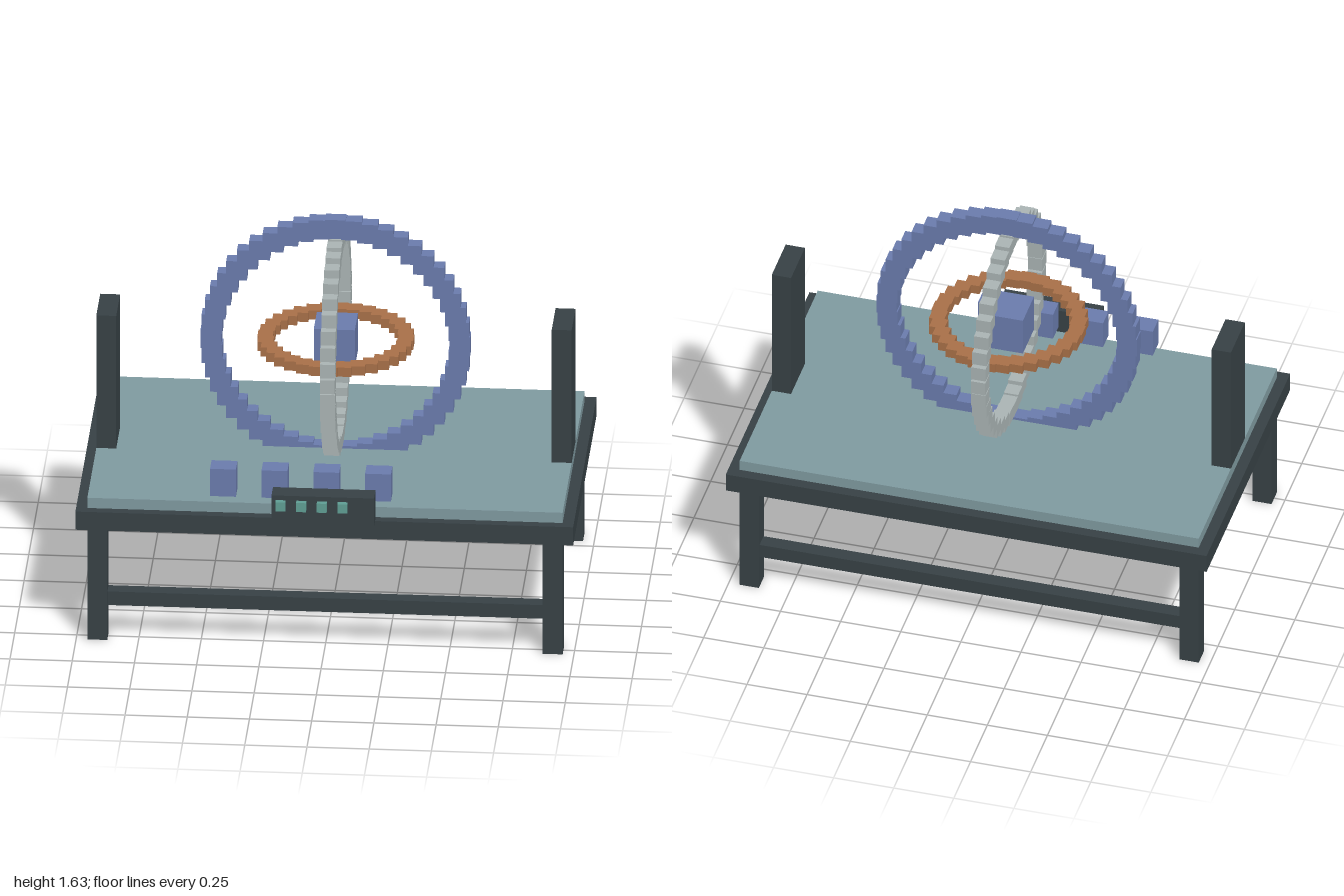
import * as THREE from 'three';
import { mergeGeometries } from 'three/addons/utils/BufferGeometryUtils.js';

const material = (color) => new THREE.MeshStandardMaterial({ color, flatShading: true });

export function createModel() {
  const model = new THREE.Group();
  model.name = 'ringTable';
  const dark = material(0x374145);
  const slate = material(0x7f9aa0);
  const blue = material(0x6a7bad);
  const silver = material(0xaab4b4);
  const copper = material(0xa87048);
  const teal = material(0x5f9e94);

  const add = (name, geometry, mat) => {
    const mesh = new THREE.Mesh(geometry, mat);
    mesh.name = name;
    model.add(mesh);
    return mesh;
  };
  // Box given by its lower and upper corners
  const box = (name, mat, [x0, y0, z0], [x1, y1, z1]) =>
    add(name, new THREE.BoxGeometry(x1 - x0, y1 - y0, z1 - z0), mat)
      .position.set((x0 + x1) / 2, (y0 + y1) / 2, (z0 + z1) / 2);

  // Stepped ring of upright blocks; place(a, b) maps the ring plane to space
  const center = new THREE.Vector3(0, 1.09, -0.037);
  const ring = (name, mat, radius, count, size, place) => {
    const blocks = [];
    for (let i = 0; i < count; i++) {
      const t = (i / count) * Math.PI * 2;
      const p = place(radius * Math.cos(t), radius * Math.sin(t));
      blocks.push(new THREE.BoxGeometry(...size).translate(...p));
    }
    add(name, mergeGeometries(blocks), mat).position.copy(center);
  };

  // Table
  box('tableFrame', dark, [-1, 0.5, -0.67], [1, 0.58, 0.578]);
  box('tableTop', slate, [-0.955, 0.58, -0.625], [0.955, 0.625, 0.54]);
  for (const z of [0.5, -0.585]) {
    for (const s of [-1, 1]) {
      const x = s * 0.915;
      box('leg', dark, [x - 0.04, 0, z - 0.04], [x + 0.04, 0.5, z + 0.04]);
    }
    box('stretcher', dark, [-0.875, 0.15, z - 0.03], [0.875, 0.21, z + 0.03]);
  }

  // Side posts
  for (const s of [-1, 1]) {
    box('sidePost', dark, [s * 0.915 - 0.04, 0.625, -0.145], [s * 0.915 + 0.04, 1.21, 0.062]);
  }

  // Three crossed rings around a core
  ring('outerRing', blue, 0.5, 48, [0.083, 0.083, 0.06], (a, b) => [a, b, 0]);
  ring('middleRing', silver, 0.425, 40, [0.06, 0.06, 0.062], (a, b) => [0, a, b]);
  ring('innerRing', copper, 0.282, 32, [0.062, 0.04, 0.062], (a, b) => [a, 0, b]);
  add('core', new THREE.BoxGeometry(0.165, 0.165, 0.165), blue).position.copy(center);

  // Row of hovering blocks along the front
  for (const x of [-0.41, -0.203, 0.005, 0.213]) {
    box('hoveringBlock', blue, [x - 0.052, 0.65, 0.457], [x + 0.052, 0.77, 0.54]);
  }

  // Control box with buttons
  box('controlBox', dark, [-0.207, 0.585, 0.565], [0.205, 0.71, 0.645]);
  for (let i = 0; i < 4; i++) {
    const x = -0.17 + i * 0.083;
    box('button', teal, [x - 0.02, 0.65, 0.645], [x + 0.02, 0.69, 0.667]);
  }
  return model;
}
